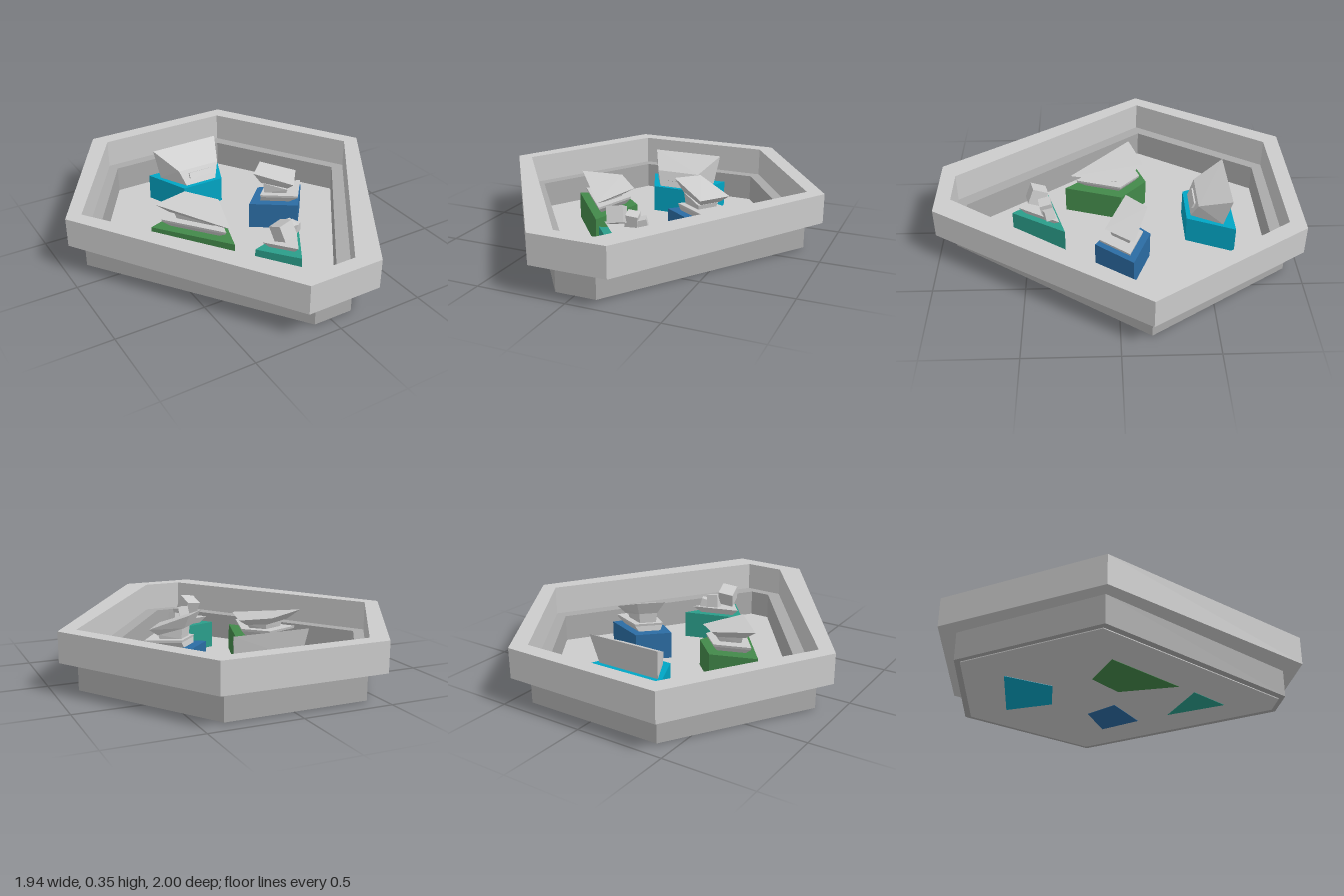
import * as THREE from 'three';
import { ConvexGeometry } from 'three/addons/geometries/ConvexGeometry.js';

const paint = (color) => new THREE.MeshStandardMaterial({ color, flatShading: true });
const grey = paint(0xcccccc);
const darkGrey = paint(0xaaaaaa);

// Six-sided plan outlines, [x, z]
const RIM = [[-0.47, -1], [0.435, -1], [0.97, -0.16], [0.228, 1], [-0.2, 1], [-0.97, -0.16]];
const WALL = [[-0.41, -0.91], [0.38, -0.915], [0.872, -0.16], [0.125, 0.915], [-0.1, 0.915], [-0.878, -0.162]];
const INNER = [[-0.38, -0.85], [0.345, -0.85], [0.795, -0.17], [0.07, 0.86], [-0.05, 0.86], [-0.8, -0.17]];
const FLOOR = [[-0.395, -0.88], [0.36, -0.88], [0.83, -0.168], [0.09, 0.885], [-0.07, 0.885], [-0.835, -0.168]];

const toPath = (pts) => pts.map(([x, z]) => new THREE.Vector2(x, -z));

// Upright prism over a plan outline, optionally with a hole (wound the other way)
function prism(name, outline, y0, y1, material, hole) {
  const shape = new THREE.Shape(toPath(outline));
  if (hole) shape.holes.push(new THREE.Path(toPath(hole).reverse()));
  const geo = new THREE.ExtrudeGeometry(shape, { depth: y1 - y0, bevelEnabled: false });
  geo.rotateX(-Math.PI / 2).translate(0, y0, 0);
  const mesh = new THREE.Mesh(geo, material);
  mesh.name = name;
  return mesh;
}

// Outline scaled about its own centre, lifted to one height or one height per corner
function ring(outline, scale, y, dx = 0, dz = 0) {
  const n = outline.length;
  const cx = outline.reduce((s, p) => s + p[0], 0) / n;
  const cz = outline.reduce((s, p) => s + p[1], 0) / n;
  return outline.map(([x, z], i) => [
    cx + (x - cx) * scale + dx, Array.isArray(y) ? y[i] : y, cz + (z - cz) * scale + dz]);
}

// Faceted solid between two rings
function block(name, a, b) {
  const pts = [...a, ...b].map((p) => new THREE.Vector3(...p));
  const mesh = new THREE.Mesh(new ConvexGeometry(pts), grey);
  mesh.name = name;
  return mesh;
}

function box(name, size, pos, rot) {
  const mesh = new THREE.Mesh(new THREE.BoxGeometry(...size), grey);
  mesh.position.set(...pos);
  mesh.rotation.set(...rot);
  mesh.name = name;
  return mesh;
}

const TOP = 0.167; // height of the coloured plinths

function station(name, outline, color, parts) {
  const group = new THREE.Group();
  group.name = name;
  group.add(prism(name + 'Plinth', outline, 0, TOP, paint(color)), ...parts);
  return group;
}

// Flared foot, narrow neck and a flared head whose top slopes by corner height
function stackedHead(plan, headPlan, heights, dx, dz) {
  const low = heights.map((h) => 0.225 + (h - 0.25) * 0.5);
  return [
    block('foot', ring(plan, 0.6, TOP), ring(plan, 0.76, 0.198, dx, dz)),
    block('footSlab', ring(plan, 0.76, 0.198, dx, dz), ring(plan, 0.78, 0.212, dx, dz)),
    block('neck', ring(plan, 0.45, 0.21), ring(plan, 0.5, low)),
    block('head', ring(headPlan, 0.66, low), ring(headPlan, 1, heights)),
  ];
}

export function createModel() {
  const model = new THREE.Group();
  model.name = 'trayWithStations';

  // Stepped tray
  model.add(
    prism('upperRim', RIM, 0.166, 0.333, grey, WALL),
    prism('lowerWall', WALL, 0.007, 0.166, darkGrey, INNER),
    prism('floor', FLOOR, 0.002, 0.01, grey),
  );

  // Trapezoid desk station at the back
  const desk = [[-0.25, -0.66], [0.23, -0.665], [0.12, -0.4], [-0.14, -0.4]];
  model.add(station('backStation', desk, 0x00a5c4, [
    block('deskConsole',
      [[-0.2, TOP, -0.6], [0.18, TOP, -0.6], [0.09, TOP, -0.425], [-0.11, TOP, -0.425]],
      [[-0.225, 0.338, -0.635], [0.205, 0.338, -0.64], [0.125, 0.255, -0.462], [-0.14, 0.255, -0.462]]),
    box('deskSlot', [0.15, 0.035, 0.03], [-0.005, 0.215, -0.45], [-0.4, 0, 0]),
  ]));

  // Four-sided station on the left
  const leftPlan = [[0.1, -0.04], [0.25, -0.185], [0.495, -0.083], [0.335, 0.122]];
  const leftHead = [[0.135, -0.052], [0.25, -0.165], [0.455, -0.085], [0.338, 0.068]];
  model.add(station('leftStation', leftPlan, 0x2b6ca3,
    stackedHead(leftPlan, leftHead, [0.352, 0.352, 0.275, 0.275], 0.025, 0.012)));

  // Long four-sided station on the right
  const rightPlan = [[-0.505, -0.1], [-0.25, -0.188], [-0.092, -0.035], [-0.195, 0.293]];
  const rightHead = [[-0.48, -0.093], [-0.253, -0.17], [-0.11, -0.033], [-0.202, 0.26]];
  model.add(station('rightStation', rightPlan, 0x43894a,
    stackedHead(rightPlan, rightHead, [0.31, 0.292, 0.264, 0.25], 0, 0)));

  // Triangular station at the front with tumbled cubes
  const frontPlan = [[-0.125, 0.39], [0.222, 0.288], [0.04, 0.592]];
  model.add(station('frontStation', frontPlan, 0x2a9d8a, [
    block('cubeTray', ring(frontPlan, 0.55, TOP), ring(frontPlan, 0.78, 0.205)),
    box('largeCube', [0.09, 0.09, 0.09], [0.012, 0.274, 0.447], [-0.4, 0.15, 0.2]),
    box('middleCube', [0.068, 0.075, 0.068], [0.078, 0.24, 0.395], [0.2, 0.15, -0.15]),
    box('smallCube', [0.055, 0.055, 0.055], [0.128, 0.222, 0.378], [0.1, 0.4, 0.2]),
  ]));

  return model;
}
